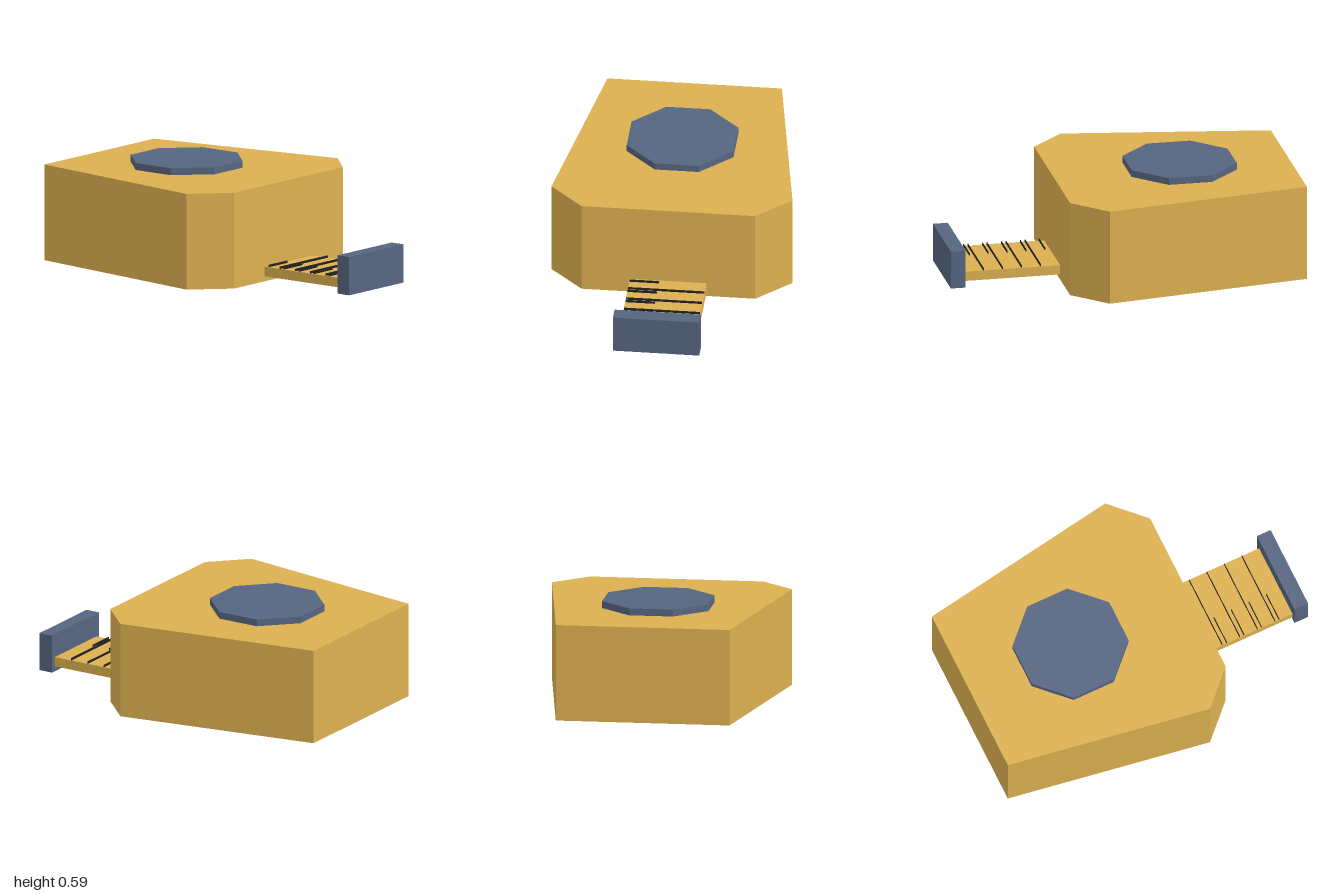
import * as THREE from 'three';

const yellow = new THREE.MeshStandardMaterial({ color: 0xdcb050, flatShading: true });
const blue = new THREE.MeshStandardMaterial({ color: 0x566580, flatShading: true });
const dark = new THREE.MeshStandardMaterial({ color: 0x222222, flatShading: true });

export function createModel() {
  const model = new THREE.Group();
  const add = (name, geometry, material) => {
    const mesh = new THREE.Mesh(geometry, material);
    mesh.name = name;
    model.add(mesh);
    return mesh;
  };
  // Box given by its minimum and maximum corners
  const box = (name, material, x0, x1, y0, y1, z0, z1) =>
    add(name, new THREE.BoxGeometry(x1 - x0, y1 - y0, z1 - z0), material)
      .position.set((x0 + x1) / 2, (y0 + y1) / 2, (z0 + z1) / 2);

  // Tapered six-sided case
  const half = [[-1, 0.495], [0.175, 0.684], [0.365, 0.493]];
  const outline = [...half.map(([x, z]) => [x, -z]), ...half.slice().reverse()];
  const shape = new THREE.Shape(outline.map(([x, z]) => new THREE.Vector2(x, z)));
  const caseGeometry = new THREE.ExtrudeGeometry(shape, { depth: 0.55, bevelEnabled: false });
  add('case', caseGeometry.rotateX(-Math.PI / 2), yellow);

  // Octagonal disc on the lid
  const disc = new THREE.CylinderGeometry(0.328, 0.328, 0.04, 8).rotateY(Math.PI / 8);
  add('topDisc', disc, blue).position.set(-0.37, 0.57, 0);

  // Pulled-out tape and its end hook
  box('tape', yellow, 0.36, 0.92, 0.03, 0.085, -0.218, 0.218);
  box('tapeHook', blue, 0.915, 1, 0, 0.22, -0.245, 0.245);

  // Raised measuring marks: long ones across the tape, short ones at its edge
  const mark = (name, x, z0) => box(name, dark, x - 0.002, x + 0.002, 0.08, 0.098, z0, 0.216);
  for (let i = 0; i < 4; i++) mark('longMark', 0.476 + i * 0.11, -0.216);
  for (let i = 0; i < 5; i++) mark('shortMark', 0.395 + i * 0.109, 0.05);

  return model;
}
